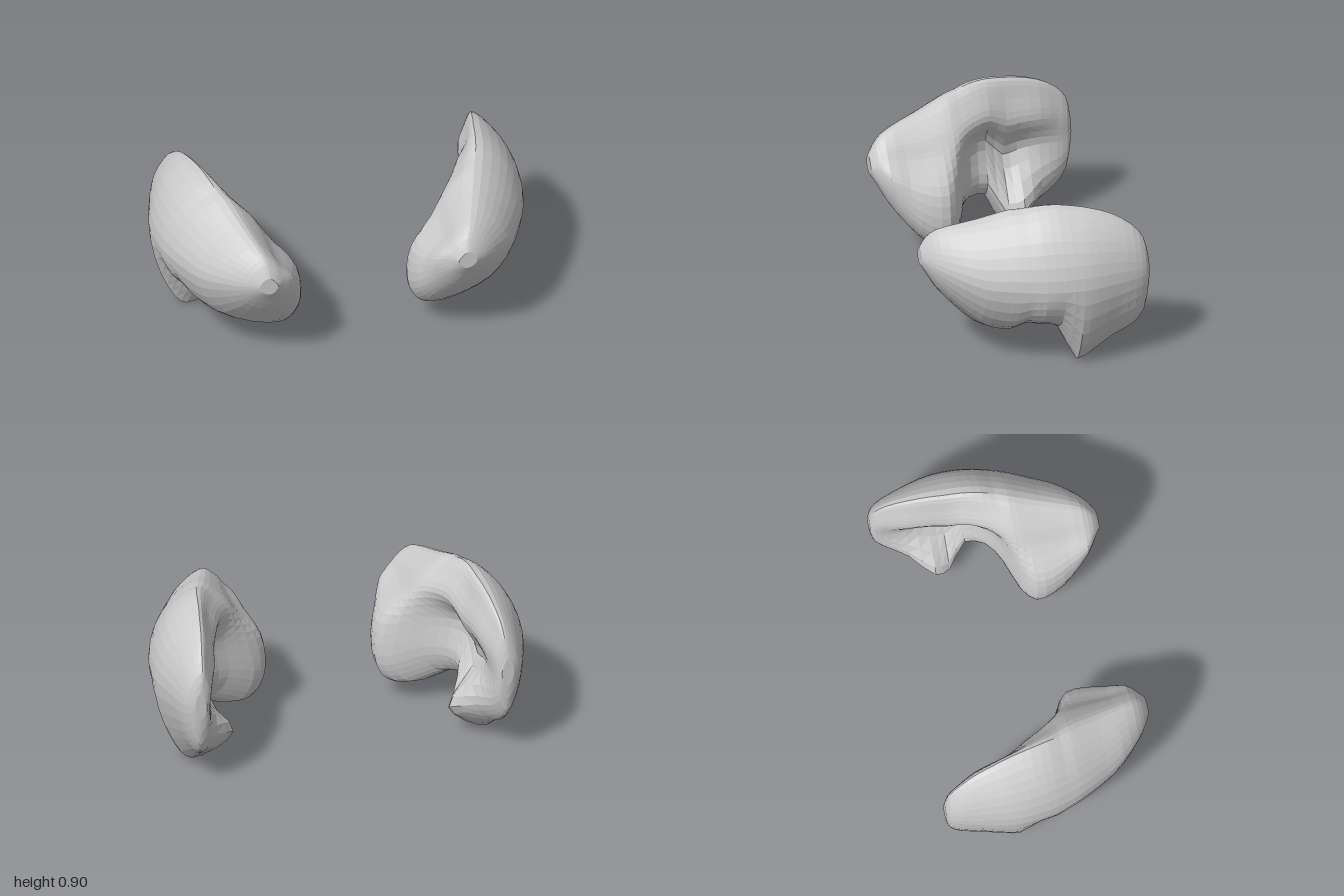
import * as THREE from 'three';

// Cross-sections from front to back:
// z, top x, top y, outermost x, bottom x, bottom y, inner wall x (low, middle, high)
const SECTIONS = [
  [0.585, 0.54, 0.63, 0.59, 0.53, 0.53, 0.505, 0.49, 0.505],
  [0.55, 0.55, 0.69, 0.65, 0.52, 0.47, 0.46, 0.45, 0.475],
  [0.5, 0.57, 0.735, 0.71, 0.48, 0.38, 0.41, 0.39, 0.455],
  [0.4, 0.60, 0.77, 0.80, 0.42, 0.25, 0.345, 0.355, 0.455],
  [0.3, 0.63, 0.80, 0.86, 0.40, 0.15, 0.31, 0.32, 0.45],
  [0.2, 0.66, 0.835, 0.91, 0.39, 0.10, 0.305, 0.32, 0.455],
  [0.13, 0.68, 0.86, 0.94, 0.47, 0.12, 0.38, 0.41, 0.48],
  [0.07, 0.70, 0.87, 0.96, 0.62, 0.20, 0.53, 0.55, 0.53],
  [0, 0.72, 0.89, 0.98, 0.72, 0.215, 0.64, 0.66, 0.58],
  [-0.1, 0.74, 0.897, 0.995, 0.76, 0.20, 0.68, 0.735, 0.63],
  [-0.2, 0.755, 0.885, 1.0, 0.80, 0.0, 0.61, 0.76, 0.67],
  [-0.28, 0.77, 0.87, 0.99, 0.80, 0.04, 0.585, 0.77, 0.69],
  [-0.4, 0.79, 0.83, 0.96, 0.80, 0.12, 0.70, 0.76, 0.715],
  [-0.5, 0.81, 0.765, 0.93, 0.82, 0.18, 0.76, 0.765, 0.755],
  [-0.56, 0.82, 0.69, 0.90, 0.83, 0.26, 0.79, 0.78, 0.78],
  [-0.585, 0.835, 0.58, 0.865, 0.835, 0.42, 0.81, 0.80, 0.81],
];
const AROUND = 36;
const STEPS = (SECTIONS.length - 1) * 2;

const mix = THREE.MathUtils.lerp;

// Rounded closed outline of one section: top, outer wall, bottom, inner wall
function outline([z, xTop, yTop, xOut, xBot, yBot, xLow, xMid, xHigh]) {
  const yOut = 0.5 + Math.max(0, z - 0.3) * 0.28;
  const yHigh = mix(yBot, yTop, 0.72);
  // The underside is broad in the front part and narrows to the rear foot
  const foot = THREE.MathUtils.clamp(-z / 0.2, 0, 1);
  const points = [
    [xTop, yTop],
    [mix(xTop, xOut, 0.66), mix(yOut, yTop, 0.66)],
    [xOut, yOut],
    [mix(xBot, xOut, mix(0.72, 0.54, foot)), mix(yOut, yBot, mix(0.69, 0.74, foot))],
    [xBot, yBot],
    [xLow, mix(yBot, yTop, 0.15)],
    [xMid, mix(yBot, yTop, 0.48)],
    [xHigh, yHigh],
    [mix(xHigh, xTop, 0.42), mix(yHigh, yTop, 0.58)],
  ].map(([x, y]) => new THREE.Vector3(x, y, z));
  return new THREE.CatmullRomCurve3(points, true).getPoints(AROUND).slice(0, AROUND);
}

// Skin the outlines; side is +1 for left, -1 for the mirrored right
function lobeGeometry(side) {
  const rings = SECTIONS.map(outline);
  const rails = rings[0].map((_, j) =>
    new THREE.CatmullRomCurve3(rings.map((ring) => ring[j])).getPoints(STEPS));

  const positions = [];
  const index = [];
  const add = (p) => positions.push(p.x * side, Math.max(0, p.y), p.z);
  const tri = (a, b, c) => (side > 0 ? index.push(a, b, c) : index.push(a, c, b));

  for (let i = 0; i <= STEPS; i++) rails.forEach((rail) => add(rail[i]));
  for (let i = 0; i < STEPS; i++) {
    for (let j = 0; j < AROUND; j++) {
      const a = i * AROUND + j;
      const b = i * AROUND + ((j + 1) % AROUND);
      tri(a, b, a + AROUND);
      tri(b, b + AROUND, a + AROUND);
    }
  }

  // Close both ends with fans
  for (const i of [0, STEPS]) {
    const centre = positions.length / 3;
    const middle = new THREE.Vector3();
    rails.forEach((rail) => middle.addScaledVector(rail[i], 1 / AROUND));
    add(middle);
    for (let j = 0; j < AROUND; j++) {
      const a = i * AROUND + j;
      const b = i * AROUND + ((j + 1) % AROUND);
      if (i === 0) tri(centre, b, a);
      else tri(centre, a, b);
    }
  }

  const geometry = new THREE.BufferGeometry();
  geometry.setAttribute('position', new THREE.Float32BufferAttribute(positions, 3));
  geometry.setIndex(index);
  geometry.computeVertexNormals();
  return geometry;
}

export function createModel() {
  const model = new THREE.Group();
  model.name = 'pairedLobes';
  const material = new THREE.MeshStandardMaterial({ color: 0xcccccc, flatShading: true });
  for (const [name, side] of [['leftLobe', 1], ['rightLobe', -1]]) {
    const lobe = new THREE.Mesh(lobeGeometry(side), material);
    lobe.name = name;
    model.add(lobe);
  }
  return model;
}
